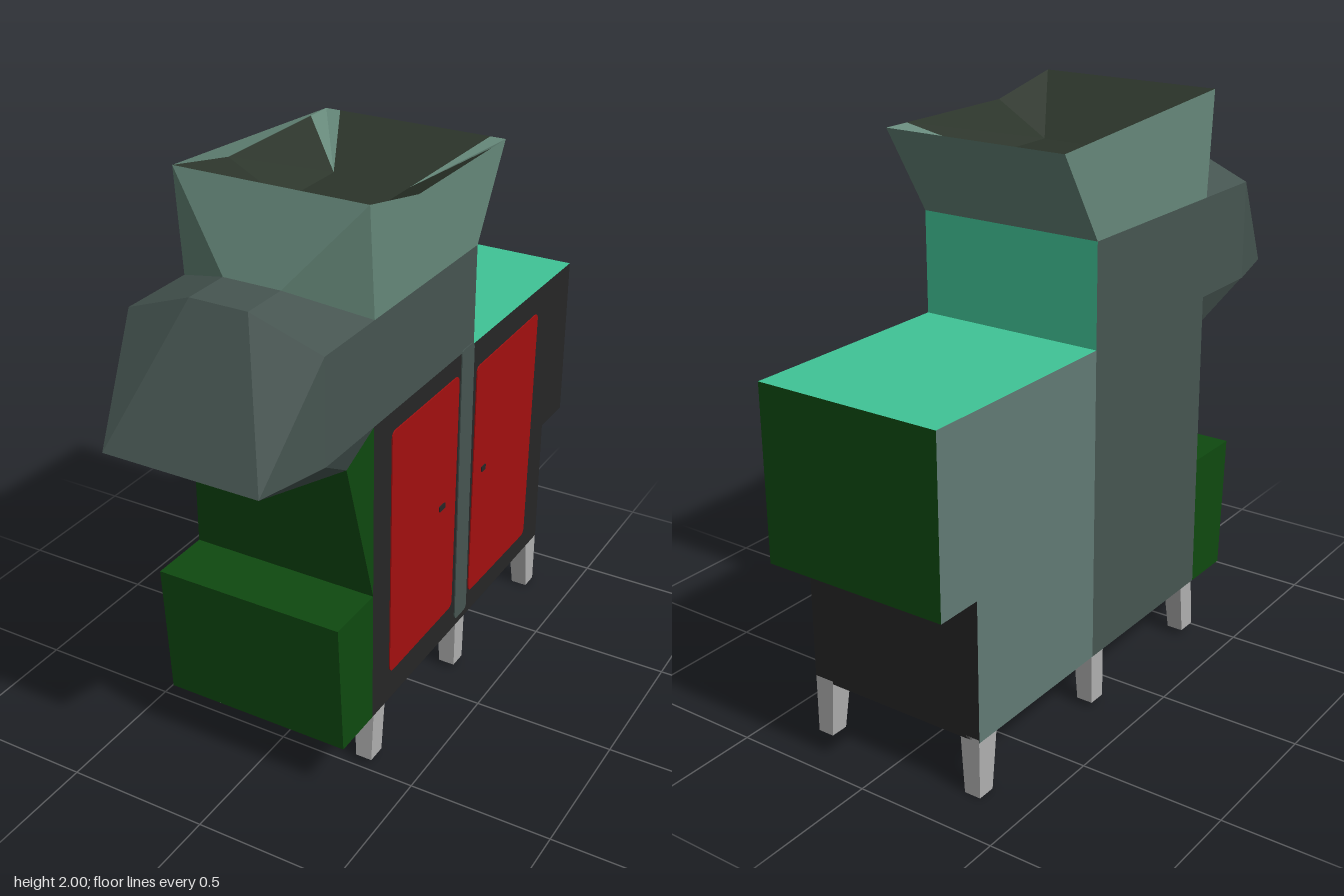
import * as THREE from 'three';

const W = 0.335; // half width of the whole machine

const paint = (name, color, open = false) => {
  const m = new THREE.MeshStandardMaterial({ color });
  m.name = name;
  if (open) m.side = THREE.DoubleSide;
  return m;
};

export function createModel() {
  const model = new THREE.Group();
  model.name = 'shreddingMachine';

  const slate = paint('slate', 0x465551, true);
  const paleSlate = paint('paleSlate', 0x627a75);
  const sage = paint('sage', 0x66887a, true);
  const mint = paint('mint', 0x40c496);
  const green = paint('green', 0x0f4a10, true);
  const charcoal = paint('charcoal', 0x262626);
  const red = paint('red', 0xa41010);
  const steel = paint('steel', 0xb0b0b0);
  const soot = paint('soot', 0x2b342a, true);

  const add = (name, geometry, material) => {
    const mesh = new THREE.Mesh(geometry, material);
    mesh.name = name;
    model.add(mesh);
    return mesh;
  };

  // Full-width block; materials in order +x, -x, top, bottom, front, back
  const block = (name, y0, y1, z0, z1, materials) => {
    const g = new THREE.BoxGeometry(2 * W, y1 - y0, z1 - z0);
    g.translate(0, (y0 + y1) / 2, (z0 + z1) / 2);
    return add(name, g, materials);
  };

  // Flat-shaded panels, each a convex polygon of [x, y, z] corners
  const panels = (name, material, faces) => {
    const p = [];
    for (const f of faces) {
      for (let i = 1; i < f.length - 1; i++) p.push(...f[0], ...f[i], ...f[i + 1]);
    }
    const g = new THREE.BufferGeometry();
    g.setAttribute('position', new THREE.Float32BufferAttribute(p, 3));
    g.computeVertexNormals();
    return add(name, g, material);
  };
  // Mirror a face to the other side, keeping it facing outward
  const flip = (f) => f.map(([x, y, z]) => [-x, y, z]).reverse();
  const both = (...faces) => faces.flatMap((f) => [f, flip(f)]);
  // Strip across the width from edge a to edge b (points on the +x side)
  const across = (a, b) => [a, [-a[0], a[1], a[2]], [-b[0], b[1], b[2]], b];

  // Cabinets
  block('frontCabinet', 0.2, 1.29, -0.2, 0.47, [charcoal, slate, slate, charcoal, green, charcoal]);
  block('rearCabinet', 0.2, 1.29, -0.83, -0.2, [charcoal, paleSlate, mint, charcoal, green, charcoal]);
  block('rearOverhang', 0.69, 1.29, -1, -0.83, [charcoal, paleSlate, mint, green, green, green]);
  block('upperTower', 1.29, 1.64, -0.2, 0.75, [slate, slate, slate, slate, slate, mint]);

  // Front bin, narrowing toward its foot
  const bin = block('frontBin', 0.2, 0.68, 0.47, 0.69, [green, green, green, charcoal, green, green]);
  const bp = bin.geometry.attributes.position;
  for (let i = 0; i < bp.count; i++) {
    if (bp.getY(i) < 0.3 && bp.getZ(i) > 0.6) bp.setZ(i, 0.66);
  }
  bin.geometry.computeVertexNormals();

  // Sloping front wall under the chute
  const keel = [0.28, 1.16, 0.54];
  panels('frontSlope', green, [
    across(keel, [W, 0.68, 0.47]),
    ...both([[W, 0.68, 0.47], [W, 1.29, 0.47], keel]),
  ]);

  // Chute hood
  const crown = [0.1, 1.73, 0.77];
  const crownBack = [0.1, 1.73, 0.47];
  const shoulder = [W, 1.64, 0.75];
  const cheek = [W, 1.29, 0.75];
  const lip = [0.27, 1.29, 1];
  panels('chuteHood', slate, [
    across(crownBack, crown),
    across(crown, lip),
    across(lip, keel),
    ...both(
      [crownBack, crown, shoulder, [W, 1.64, 0.47]],
      [crown, lip, shoulder],
      [shoulder, lip, cheek],
      [cheek, lip, keel, [W, 1.29, 0.47]],
    ),
  ]);

  // Hopper outer walls
  const rimFront = [W, 2, 0.5];
  const rimMid = [W, 1.94, 0.21];
  const rimBack = [W, 1.94, -0.38];
  const baseFront = [W, 1.64, 0.47];
  const baseBack = [W, 1.64, -0.2];
  const bulge = [0.1, 1.73, 0.6];
  panels('hopperWalls', sage, [
    across(rimFront, bulge),
    across(baseBack, rimBack),
    ...both(
      [rimFront, bulge, baseFront],
      [baseFront, baseBack, rimBack, rimMid, rimFront],
    ),
  ]);

  // Hopper funnel with pale rear corner gussets
  const floorFront = [0.14, 1.83, 0.2];
  const floorBack = [0.14, 1.83, -0.1];
  const sideEnd = [W, 1.94, -0.28];
  const backEnd = [0.28, 1.94, -0.38];
  panels('hopperFunnel', soot, [
    across(floorFront, rimFront),
    across(backEnd, floorBack),
    across(floorBack, floorFront),
    ...both(
      [floorFront, rimFront, rimMid],
      [floorFront, rimMid, sideEnd, floorBack],
    ),
  ]);
  panels('funnelGusset', sage, both([rimBack, floorBack, sideEnd], [rimBack, backEnd, floorBack]));

  // Rounded plate on the +x side; corners are [z, y]
  const sidePlate = (name, material, corners, r, lift, depth = 0.004) => {
    const s = new THREE.Shape();
    const v = corners.map(([z, y]) => new THREE.Vector2(-z, y));
    v.forEach((c, i) => {
      const prev = v[(i + 3) % 4];
      const next = v[(i + 1) % 4];
      const a = prev.clone().sub(c).setLength(r).add(c);
      const b = next.clone().sub(c).setLength(r).add(c);
      if (i === 0) s.moveTo(a.x, a.y);
      else s.lineTo(a.x, a.y);
      s.quadraticCurveTo(c.x, c.y, b.x, b.y);
    });
    s.closePath();
    const g = new THREE.ExtrudeGeometry(s, { depth, bevelEnabled: false, curveSegments: 4 });
    g.rotateY(Math.PI / 2);
    g.translate(W + lift, 0, 0);
    add(name, g, material);
  };
  sidePlate('sidePillar', slate, [[-0.12, 0.23], [-0.21, 0.23], [-0.2, 1.3], [-0.11, 1.3]], 0.02, 0);
  sidePlate('frontDoor', red, [[0.36, 0.31], [-0.09, 0.31], [-0.095, 1.22], [0.36, 1.22]], 0.025, 0);
  sidePlate('rearDoor', red, [[-0.225, 0.29], [-0.7, 0.28], [-0.72, 1.2], [-0.23, 1.19]], 0.025, 0);
  sidePlate('frontHandle', charcoal, [[0.03, 0.76], [-0.01, 0.76], [-0.01, 0.78], [0.03, 0.78]], 0.003, 0.004);
  sidePlate('rearHandle', charcoal, [[-0.29, 0.757], [-0.32, 0.757], [-0.32, 0.777], [-0.29, 0.777]], 0.003, 0.004);

  // Tapered legs: top z span, foot z span, foot height
  const legs = [
    ['frontLeg', [0.385, 0.46], [0.405, 0.475], 0.02],
    ['middleLeg', [-0.205, -0.135], [-0.2, -0.135], 0.02],
    ['rearLeg', [-0.83, -0.74], [-0.83, -0.765], 0],
  ];
  for (const [name, top, foot, y0] of legs) {
    for (const side of [1, -1]) {
      const g = new THREE.BoxGeometry(1, 1, 1);
      const p = g.attributes.position;
      for (let i = 0; i < p.count; i++) {
        const up = p.getY(i) > 0;
        const inner = up ? 0.262 : 0.275;
        const x = p.getX(i) * side > 0 ? W - 0.001 : inner;
        const z = (up ? top : foot)[p.getZ(i) > 0 ? 1 : 0];
        p.setXYZ(i, x * side, up ? 0.21 : y0, z);
      }
      const flat = g.toNonIndexed();
      flat.computeVertexNormals();
      add(name, flat, steel);
    }
  }

  return model;
}
